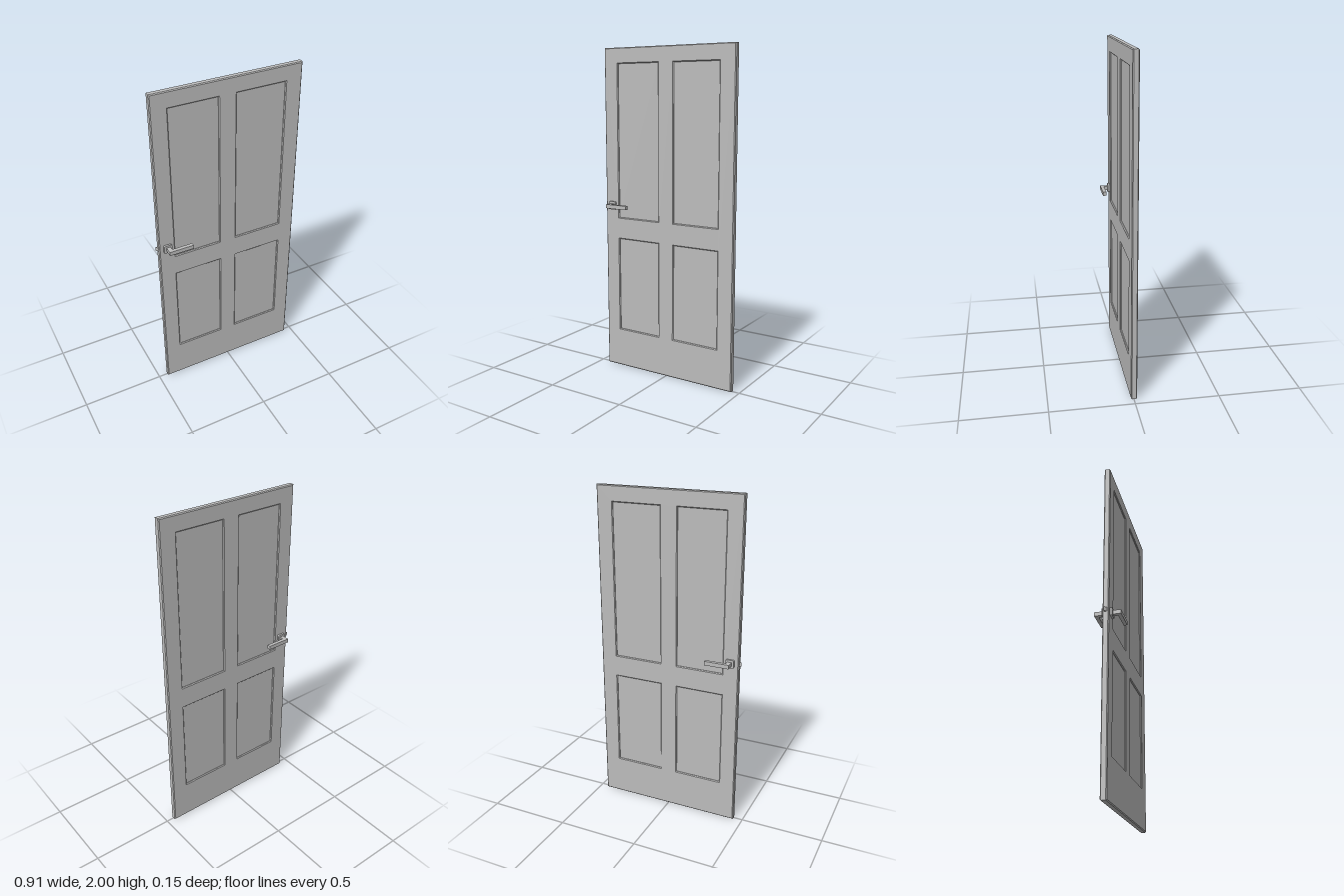
import * as THREE from 'three';

const Z_MID = -0.0015; // middle plane of the door leaf
const HANDLE_Y = 1.041;

function polygon(points, Type = THREE.Shape) {
  return new Type(points.map(([x, y]) => new THREE.Vector2(x, y)));
}

function rect(x0, y0, x1, y1) {
  return [[x0, y0], [x1, y0], [x1, y1], [x0, y1]];
}

// Extrudes a shape drawn as (x, -z) upwards, centred on the given height
function extrudeUp(points, height, y) {
  const geometry = new THREE.ExtrudeGeometry(polygon(points), { depth: height, bevelEnabled: false });
  geometry.rotateX(-Math.PI / 2);
  geometry.translate(0, y - height / 2, 0);
  return geometry;
}

export function createModel() {
  const door = new THREE.Group();
  door.name = 'door';
  const grey = new THREE.MeshStandardMaterial({ color: 0xbcbcbc });
  grey.name = 'grey';

  const add = (name, geometry, parent = door) => {
    const mesh = new THREE.Mesh(geometry, grey);
    mesh.name = name;
    parent.add(mesh);
    return mesh;
  };

  // Leaf frame: chamfered slab with four openings, bevelled on both faces
  const bevel = 0.005;
  const thickness = 0.036;
  const openings = [
    [-0.35, 0.963, -0.05, 1.91],
    [0.047, 0.963, 0.357, 1.91],
    [-0.35, 0.24, -0.05, 0.837],
    [0.047, 0.24, 0.357, 0.837],
  ];
  const leaf = polygon(rect(-0.443, 0, 0.453, 2));
  for (const [x0, y0, x1, y1] of openings) {
    leaf.holes.push(polygon(rect(x0 + bevel, y0 + bevel, x1 - bevel, y1 - bevel), THREE.Path));
  }
  const frame = new THREE.ExtrudeGeometry(leaf, {
    depth: thickness - 2 * bevel,
    bevelEnabled: true,
    bevelThickness: bevel,
    bevelSize: bevel,
    bevelOffset: -bevel,
    bevelSegments: 1,
  });
  frame.translate(0, 0, Z_MID - thickness / 2 + bevel);
  add('frame', frame);

  // Recessed panels, visible from both faces
  for (const [x0, y0, x1, y1] of openings) {
    const panel = new THREE.BoxGeometry(x1 - x0, y1 - y0, 0.02);
    panel.translate((x0 + x1) / 2, (y0 + y1) / 2, Z_MID);
    add('panel', panel);
  }

  // Rounded square rosette outline
  const half = 0.025;
  const r = 0.007;
  const rosetteShape = new THREE.Shape();
  [[1, 1, 0], [-1, 1, 1], [-1, -1, 2], [1, -1, 3]].forEach(([sx, sy, quarter]) => {
    const start = quarter * Math.PI / 2;
    rosetteShape.absarc(sx * (half - r), sy * (half - r), r, start, start + Math.PI / 2, false);
  });

  // Matching lever handles on the front and back
  for (const side of [1, -1]) {
    const handle = new THREE.Group();
    handle.name = side > 0 ? 'frontHandle' : 'backHandle';
    door.add(handle);

    const rosette = new THREE.ExtrudeGeometry(rosetteShape, {
      depth: 0.013, bevelEnabled: false, curveSegments: 4,
    });
    rosette.translate(-0.392, HANDLE_Y, thickness / 2 - 0.001);
    const lever = extrudeUp([
      [-0.403, -0.015], [-0.403, -0.077], [-0.254, -0.077],
      [-0.254, -0.055], [-0.378, -0.055], [-0.378, -0.015],
    ], 0.024, HANDLE_Y);
    // A half turn about x carries the handle to the back, then restores its height
    for (const [name, geometry] of [['rosette', rosette], ['lever', lever]]) {
      if (side < 0) {
        geometry.rotateX(Math.PI);
        geometry.translate(0, 2 * HANDLE_Y, 0);
      }
      geometry.translate(0, 0, Z_MID);
      add(name, geometry, handle);
    }
  }

  // Wedge-shaped latch bolt in the lock edge
  add('latch', extrudeUp([
    [-0.44, 0.009], [-0.456, 0.009], [-0.453, 0.004], [-0.443, -0.007], [-0.44, -0.007],
  ], 0.024, HANDLE_Y));

  return door;
}
